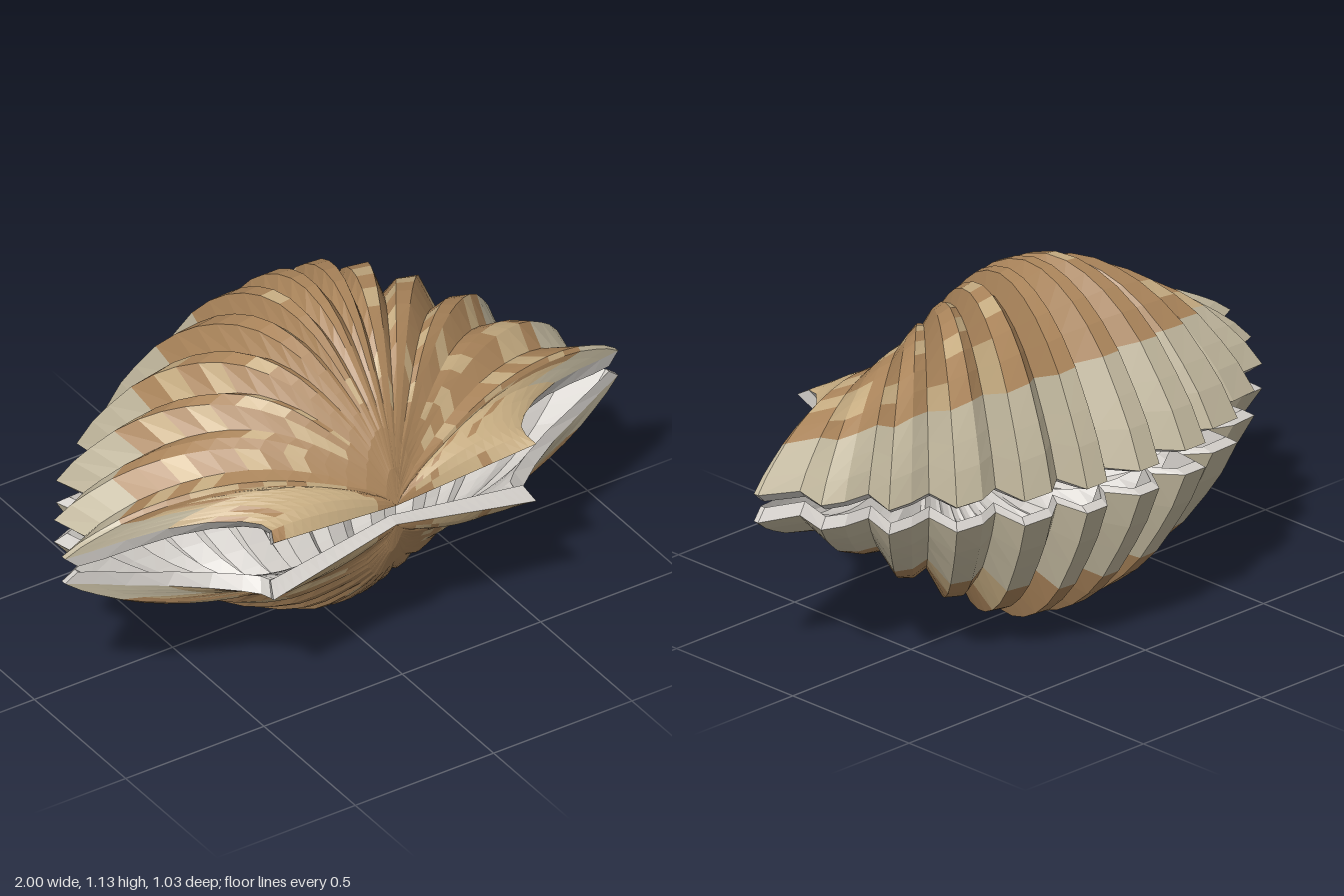
import * as THREE from 'three';

const MID = 0.565; // height of the plane between the two valves
const APEX = [0, 0.6, 0.47];
const { clamp } = THREE.MathUtils;

// Arch along each ray from hinge to rim: [distance fraction, height fraction]
const ARCH = [[0, 0], [0.03, 0.22], [0.09, 0.44], [0.15, 0.58], [0.21, 0.7], [0.27, 0.81], [0.33, 0.9], [0.4, 0.965],
  [0.475, 1], [0.55, 0.99], [0.62, 0.945], [0.69, 0.87], [0.76, 0.76], [0.83, 0.61], [0.9, 0.4], [0.95, 0.23], [1, 0]];
const CREAM_START = 13;

// Rays on the +x half: [rim x, rim y, rim z, arch height, groove depth]
const HALF = [
  [0.04, 0.605, -0.52, 0.53, 0], [0.11, 0.605, -0.515, 0.525, 0.09],
  [0.165, 0.605, -0.505, 0.52, 0], [0.25, 0.605, -0.505, 0.515, 0], [0.29, 0.605, -0.48, 0.5, 0.1],
  [0.34, 0.605, -0.445, 0.48, 0], [0.45, 0.605, -0.44, 0.47, 0], [0.49, 0.605, -0.39, 0.445, 0.1],
  [0.53, 0.605, -0.34, 0.42, 0], [0.63, 0.605, -0.33, 0.405, 0], [0.68, 0.605, -0.265, 0.37, 0.1],
  [0.7, 0.605, -0.205, 0.345, 0], [0.79, 0.605, -0.2, 0.325, 0], [0.82, 0.605, -0.12, 0.29, 0.09],
  [0.84, 0.605, -0.06, 0.255, 0], [0.91, 0.605, -0.03, 0.235, 0], [0.955, 0.605, 0.06, 0.2, 0.08],
  [1, 0.61, 0.15, 0.17, 0], [1, 0.61, 0.168, 0.155, 0],
  // side edge and ear
  [0.92, 0.625, 0.195, 0.14, 0], [0.82, 0.648, 0.23, 0.125, 0], [0.7, 0.67, 0.275, 0.105, 0],
  [0.59, 0.686, 0.335, 0.085, 0], [0.51, 0.693, 0.395, 0.065, 0],
  [0.47, 0.693, 0.44, 0.05, 0], [0.46, 0.69, 0.48, 0.025, 0], [0.475, 0.67, 0.515, 0, 0],
];
const RAYS = [...HALF.map(([x, ...rest]) => [-x, ...rest]).reverse(), ...HALF];

const COLORS = { brownShell: 0xab855b, tanPatches: 0xc7ad82, creamRim: 0xc3b99f, pearlInside: 0xcfcbc6 };

function seeded(seed) {
  return () => {
    seed = (seed * 16807) % 2147483647;
    return seed / 2147483647;
  };
}

// Grooves fade out toward the smooth beak
function outerPoint([x, y, z, h, groove], k) {
  const [s, a] = ARCH[k];
  const f = 1 - groove * clamp((s - 0.05) / 0.25, 0, 1);
  return [
    x * s * f,
    APEX[1] + (y - APEX[1]) * s + h * a * f,
    APEX[2] + (z - APEX[2]) * s * f,
  ];
}

// Inner skin: drawn in toward the hollow, and behind the hinge near the front
function innerPoint(ray, k) {
  const [x, y, z] = outerPoint(ray, k);
  const drop = 0.012 + 0.024 * clamp((z + 0.5) / 0.7, 0, 1) * ARCH[k][0];
  const back = 0.038 * clamp((z - 0.2) / 0.27, 0, 1.4);
  return [x * 0.96, APEX[1] + (y - APEX[1]) * 0.95 - drop, APEX[2] + (z - APEX[2]) * 0.965 - back];
}

function createValve(name, lower) {
  const valve = new THREE.Group();
  valve.name = name;
  const buckets = Object.fromEntries(Object.keys(COLORS).map((c) => [c, []]));
  const random = seeded(71);
  const place = ([x, y, z]) => [x, lower ? 2 * MID - y : y, z];

  // Corners run counter-clockwise for the upper valve; the lower one reverses them
  function quad(bucket, a, b, c, d) {
    for (const tri of [[a, b, c], [a, c, d]]) {
      const same = (p, q) => p.every((v, i) => Math.abs(v - q[i]) < 1e-6);
      if (same(tri[0], tri[1]) || same(tri[1], tri[2]) || same(tri[0], tri[2])) continue;
      if (lower) tri.reverse();
      tri.forEach((p) => buckets[bucket].push(...place(p)));
    }
  }

  // Brown crown, scattered tan toward the sides, cream along the rim
  function shade(i, k) {
    const side = Math.abs(i - (RAYS.length - 2) / 2) / (RAYS.length / 2);
    if (k >= CREAM_START && side < 0.78) return 'creamRim';
    if (k < 3) return 'brownShell';
    const chance = side > 0.72 ? 0.85 : side * 0.5;
    return random() < chance ? 'tanPatches' : 'brownShell';
  }

  const last = ARCH.length - 1;
  for (let i = 0; i < RAYS.length - 1; i++) {
    const [l, r] = [RAYS[i], RAYS[i + 1]];
    for (let k = 0; k < last; k++) {
      quad(shade(i, k), outerPoint(l, k), outerPoint(r, k), outerPoint(r, k + 1), outerPoint(l, k + 1));
      quad('pearlInside', innerPoint(l, k), innerPoint(l, k + 1), innerPoint(r, k + 1), innerPoint(r, k));
    }
    // rim
    quad('pearlInside', outerPoint(l, last), outerPoint(r, last), innerPoint(r, last), innerPoint(l, last));
  }
  // hinge edge
  const [first, end] = [RAYS[0], RAYS[RAYS.length - 1]];
  for (let k = 0; k < last; k++) {
    quad('pearlInside', outerPoint(first, k), outerPoint(first, k + 1), innerPoint(first, k + 1), innerPoint(first, k));
    quad('pearlInside', outerPoint(end, k + 1), outerPoint(end, k), innerPoint(end, k), innerPoint(end, k + 1));
  }

  for (const [part, positions] of Object.entries(buckets)) {
    const geometry = new THREE.BufferGeometry();
    geometry.setAttribute('position', new THREE.Float32BufferAttribute(positions, 3));
    geometry.computeVertexNormals();
    const material = new THREE.MeshStandardMaterial({ color: COLORS[part], flatShading: true, side: THREE.DoubleSide });
    const mesh = new THREE.Mesh(geometry, material);
    mesh.name = part;
    valve.add(mesh);
  }
  return valve;
}

export function createModel() {
  const group = new THREE.Group();
  group.name = 'scallopShell';
  group.add(createValve('upperValve', false), createValve('lowerValve', true));
  return group;
}
